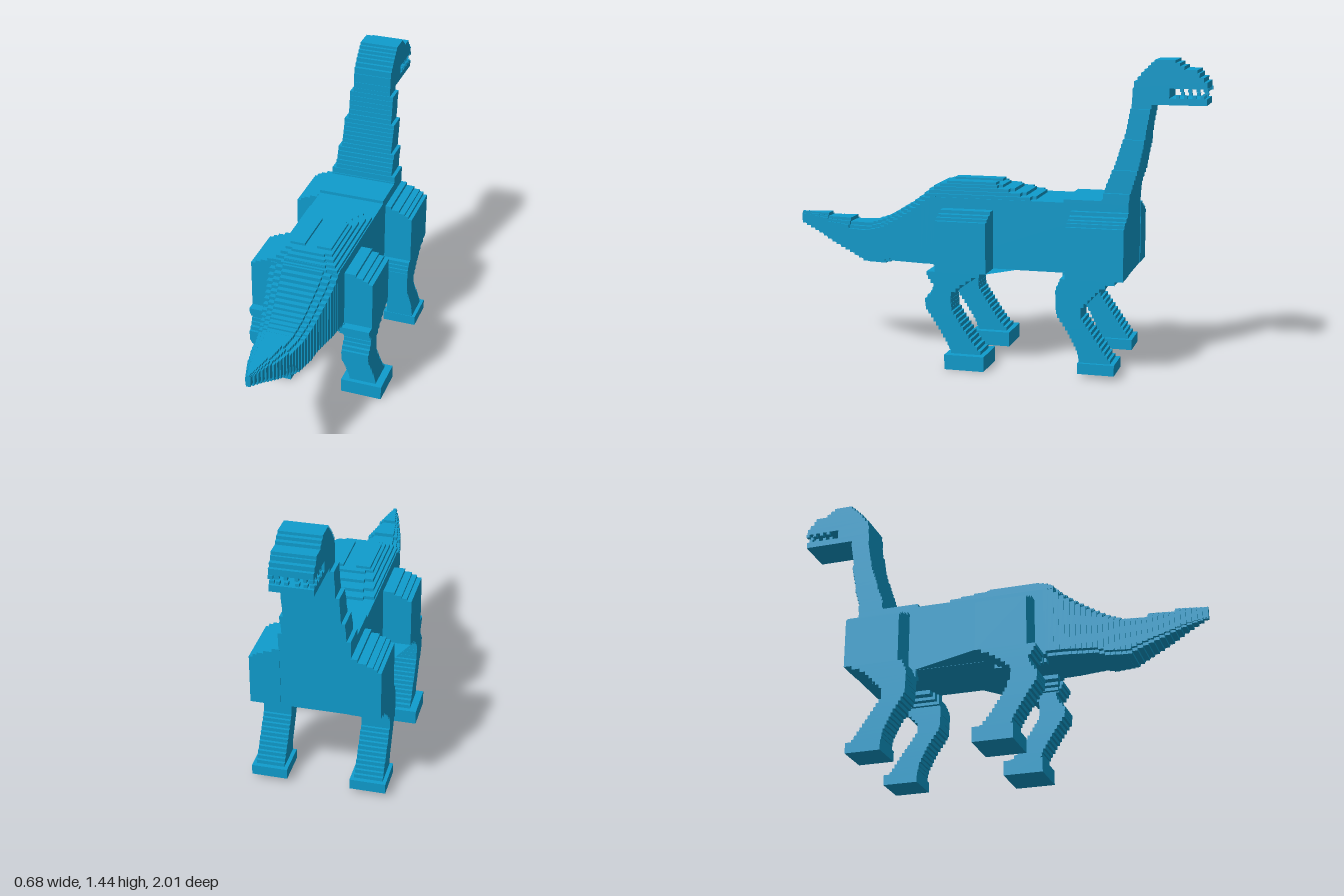
import * as THREE from 'three';
import { mergeGeometries } from 'three/addons/utils/BufferGeometryUtils.js';

const blue = new THREE.MeshStandardMaterial({ color: 0x0f9ccd, flatShading: true });
blue.name = 'blue';
const blueSheet = new THREE.MeshStandardMaterial({ color: 0x0f9ccd, flatShading: true, side: THREE.DoubleSide });
blueSheet.name = 'blue';

// Box given by its limits on each axis
function box(x0, x1, y0, y1, z0, z1) {
  const g = new THREE.BoxGeometry(Math.abs(x1 - x0), y1 - y0, Math.abs(z1 - z0));
  return g.translate((x0 + x1) / 2, (y0 + y1) / 2, (z0 + z1) / 2);
}

function part(name, boxes) {
  const mesh = new THREE.Mesh(mergeGeometries(boxes), blue);
  mesh.name = name;
  return mesh;
}

// Linear lookup in a list of [position, value] points, ascending
function at(points, t) {
  if (t <= points[0][0]) return points[0][1];
  for (let i = 1; i < points.length; i++) {
    const [a, va] = points[i - 1], [b, vb] = points[i];
    if (t <= b) return va + (vb - va) * (t - a) / (b - a);
  }
  return points[points.length - 1][1];
}

// Stepped limb: layers along y between a tail-side and a head-side outline
function layers(y0, y1, n, rear, front, x0, x1) {
  const out = [], h = (y1 - y0) / n;
  for (let i = 0; i < n; i++) {
    const y = y0 + i * h, m = y + h / 2;
    out.push(box(x0, x1, y, y + h, at(front, m), at(rear, m)));
  }
  return out;
}

export function createModel() {
  const model = new THREE.Group();
  model.name = 'longNeckedDinosaur';

  // Torso: solid trunk with a terraced hump over the hips
  const torso = [box(-0.165, 0.165, 0.455, 0.785, -0.665, 0.27)];
  torso.push(box(-0.165, 0.165, 0.785, 0.8, -0.665, -0.36));
  const terraces = [
    [0.16, 0.785, 0.8, -0.2, 0.31], [0.145, 0.8, 0.815, -0.15, 0.295],
    [0.13, 0.815, 0.83, -0.09, 0.275], [0.115, 0.83, 0.843, -0.03, 0.25],
  ];
  for (const [w, y0, y1, z0, z1] of terraces) {
    torso.push(box(-w, w, y0, y1, z0, z1));
    torso.push(box(-w * 0.7, w * 0.7, y0, y1, z0 - 0.02, z1 + 0.012));
  }
  for (const s of [-1, 1]) torso.push(box(s * 0.03, s * 0.1, 0.84, 0.855, -0.02, 0.22));
  model.add(part('torso', torso));

  // Tail: slabs along z with narrower caps
  const top = [[0.25, 0.825], [0.3, 0.81], [0.35, 0.77], [0.4, 0.735], [0.45, 0.705], [0.5, 0.675], [0.55, 0.65], [0.62, 0.627], [0.74, 0.627], [0.741, 0.645], [0.86, 0.645], [0.861, 0.66], [1, 0.66]];
  const bottom = [[0.5, 0.455], [0.54, 0.44], [0.64, 0.44], [0.7, 0.47], [0.8, 0.515], [0.9, 0.565], [1, 0.605]];
  const half = [[0.3, 0.165], [0.36, 0.16], [0.43, 0.145], [0.51, 0.13], [0.6, 0.11], [0.68, 0.095], [0.76, 0.08], [0.84, 0.06], [0.92, 0.035], [1, 0.008]];
  const tail = [], n = 30, z0 = 0.26, dz = (1 - z0) / n;
  for (let i = 0; i < n; i++) {
    const z = z0 + i * dz, m = z + dz / 2;
    const t = at(top, m), b = at(bottom, m), w = at(half, m), cap = Math.min(0.03, (t - b) * 0.2);
    tail.push(box(-w, w, b + cap * 0.5, t - cap, z, z + dz));
    tail.push(box(-w * 0.82, w * 0.82, b, t - cap * 0.5, z, z + dz));
    tail.push(box(-w * 0.6, w * 0.6, t - cap * 0.5, t, z, z + dz));
  }
  model.add(part('tail', tail));

  // Neck: layers leaning forward, narrowing in width bands
  const nape = [[0.8, -0.54], [0.86, -0.553], [0.94, -0.585], [1.05, -0.62], [1.12, -0.64], [1.24, -0.66]];
  const throat = [[0.8, -0.665], [0.86, -0.675], [0.94, -0.7], [1.05, -0.722], [1.15, -0.735], [1.24, -0.752]];
  const neck = [
    ...layers(0.78, 0.835, 2, nape, throat, -0.165, 0.165),
    ...layers(0.835, 0.94, 5, nape, throat, -0.147, 0.147),
    ...layers(0.94, 1.08, 7, nape, throat, -0.13, 0.13),
    ...layers(1.08, 1.22, 6, nape, throat, -0.112, 0.112),
    ...layers(1.22, 1.24, 1, nape, throat, -0.095, 0.095),
  ];
  model.add(part('neck', neck));

  // Head: jaw, back of the mouth, stepped skull
  const w = 0.095;
  const head = [
    box(-w, w, 1.24, 1.27, -1, -0.66),
    box(-w, w, 1.27, 1.315, -0.83, -0.663),
    box(-w, w, 1.315, 1.345, -1, -0.668),
    box(-w, w, 1.345, 1.365, -0.985, -0.685),
    box(-w, w, 1.365, 1.385, -0.965, -0.7),
    box(-w, w, 1.385, 1.4, -0.955, -0.715),
    box(-w, w, 1.4, 1.415, -0.895, -0.73),
    box(-w, w, 1.415, 1.43, -0.875, -0.745),
    box(-w, w, 1.43, 1.443, -0.855, -0.76),
  ];
  model.add(part('head', head));

  // Teeth along both sides and across the front of the jaws
  const teeth = [];
  for (const s of [-1, 1]) {
    for (let i = 0; i < 4; i++) {
      const z = -0.86 - i * 0.037;
      teeth.push(box(s * 0.075, s * w, 1.268, 1.284, z - 0.016, z));
      teeth.push(box(s * 0.075, s * w, 1.3, 1.317, z - 0.034, z - 0.018));
    }
    for (const x of [0.015, 0.05]) {
      teeth.push(box(s * x, s * (x + 0.016), 1.268, 1.284, -0.99, -0.971));
      teeth.push(box(s * x, s * (x + 0.016), 1.3, 1.317, -1, -0.98));
    }
  }
  model.add(part('teeth', teeth));

  // Lower-leg outlines as [height, z]
  const foreRear = [[0.07, -0.47], [0.12, -0.46], [0.2, -0.42], [0.29, -0.36], [0.4, -0.356], [0.455, -0.38]];
  const foreFront = [[0.07, -0.62], [0.12, -0.585], [0.2, -0.53], [0.28, -0.475], [0.32, -0.475], [0.38, -0.53], [0.42, -0.57], [0.455, -0.65]];
  const hindRear = [[0.07, 0.14], [0.12, 0.16], [0.2, 0.21], [0.28, 0.265], [0.32, 0.268], [0.36, 0.235], [0.39, 0.225], [0.42, 0.25], [0.455, 0.265]];
  const hindFront = [[0.07, -0.01], [0.12, 0.035], [0.2, 0.09], [0.28, 0.14], [0.35, 0.145], [0.39, 0.1], [0.43, 0.04], [0.455, -0.015]];

  for (const s of [-1, 1]) {
    const side = s > 0 ? 'left' : 'right';
    const a = s * 0.16, b = s * 0.303;

    // Fore leg with stepped shoulder, inner arch and foot
    const fore = [
      ...layers(0.07, 0.455, 21, foreRear, foreFront, s * 0.168, b),
      box(a, b, 0.455, 0.695, -0.668, -0.4),
      box(a, s * 0.285, 0.695, 0.71, -0.668, -0.4),
      box(a, s * 0.265, 0.71, 0.72, -0.668, -0.4),
      box(a, s * 0.235, 0.72, 0.733, -0.668, -0.4),
      box(a, s * 0.195, 0.733, 0.75, -0.668, -0.4),
      box(s * 0.15, s * 0.17, 0.405, 0.46, -0.55, -0.36),
      box(s * 0.12, s * 0.15, 0.42, 0.46, -0.57, -0.37),
      box(s * 0.08, s * 0.12, 0.435, 0.46, -0.6, -0.38),
      box(s * 0.15, s * 0.32, 0.02, 0.07, -0.635, -0.465),
    ];
    model.add(part(side + 'ForeLeg', fore));

    // Hind leg with stepped hip, inner arch and foot
    const hind = [
      ...layers(0.07, 0.455, 21, hindRear, hindFront, s * 0.168, b),
      box(a, b, 0.455, 0.695, -0.025, 0.22),
      box(a, s * 0.28, 0.695, 0.708, -0.025, 0.22),
      box(a, s * 0.255, 0.708, 0.72, -0.025, 0.22),
      box(a, s * 0.22, 0.72, 0.735, -0.025, 0.22),
      box(s * 0.15, s * 0.17, 0.405, 0.46, 0.07, 0.24),
      box(s * 0.12, s * 0.15, 0.42, 0.46, 0.04, 0.25),
      box(s * 0.08, s * 0.12, 0.435, 0.46, 0.01, 0.26),
      box(s * 0.132, s * 0.338, 0, 0.07, -0.025, 0.165),
    ];
    model.add(part(side + 'HindLeg', hind));

    // Thin flap running from the belly edge to the hind leg
    const shape = new THREE.Shape();
    shape.moveTo(s * 0.165, s > 0 ? -0.14 : -0.38);
    shape.lineTo(s * 0.303, -0.025);
    shape.lineTo(s * 0.165, -0.025);
    const flap = new THREE.Mesh(new THREE.ShapeGeometry(shape).rotateX(Math.PI / 2).translate(0, 0.456, 0), blueSheet);
    flap.name = side + 'BellyFlap';
    model.add(flap);
  }
  return model;
}
